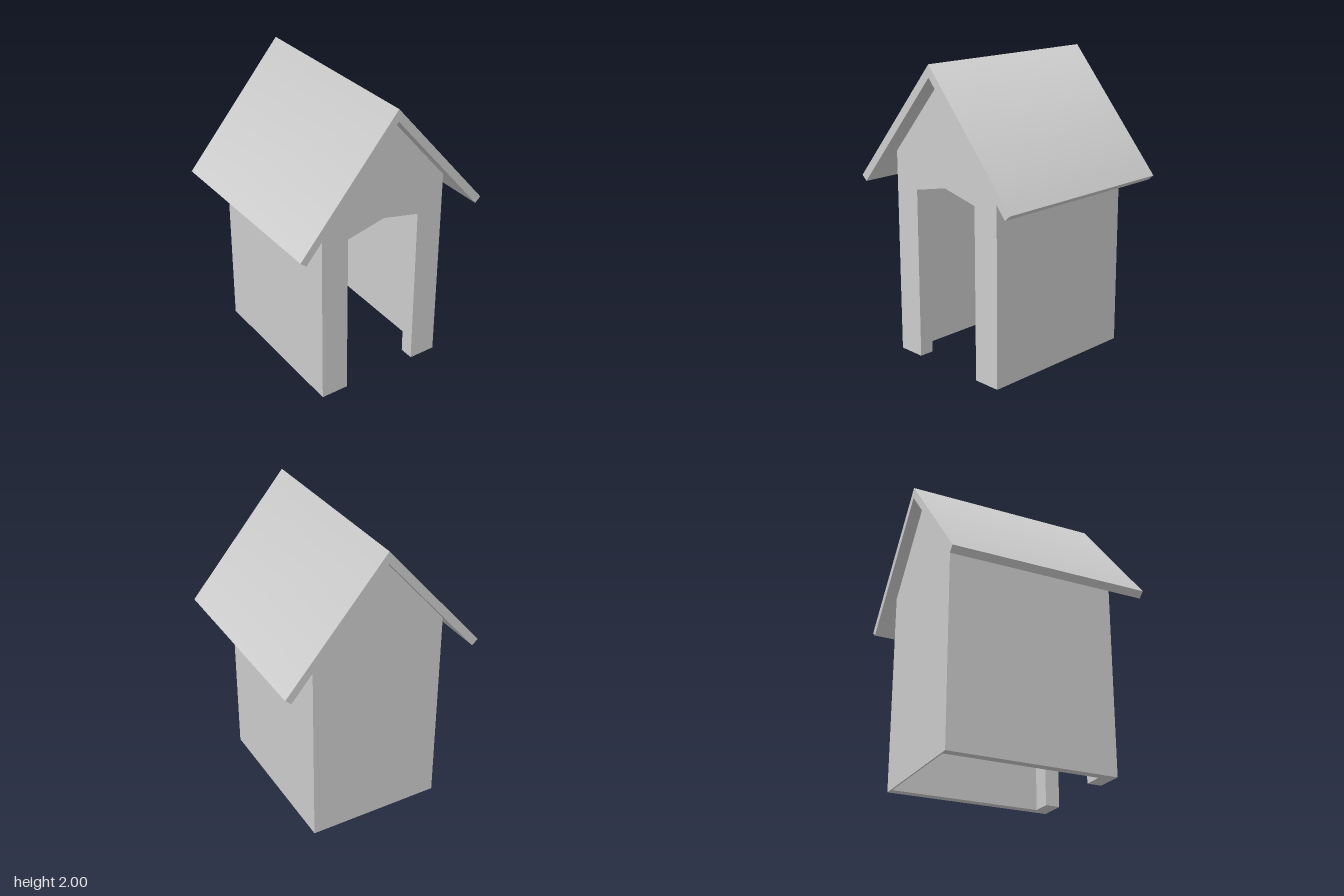
import * as THREE from 'three';

const material = new THREE.MeshStandardMaterial({ color: 0xcccccc });
const W = 0.46, FRONT = 0.555, BACK = -0.59;
const FRONT_T = 0.1, BACK_T = 0.01, SIDE_T = 0.06;
const PEAK = 1.92, SLOPE = 1.17;
const roofUnder = (x) => PEAK - SLOPE * Math.abs(x);

// Extrudes an outline in x, y from z0 to z1
function slab(name, points, z0, z1, hole) {
  const toVectors = (list) => list.map(([x, y]) => new THREE.Vector2(x, y));
  const shape = new THREE.Shape(toVectors(points));
  if (hole) shape.holes.push(new THREE.Path(toVectors(hole)));
  const geometry = new THREE.ExtrudeGeometry(shape, { depth: z1 - z0, bevelEnabled: false });
  geometry.translate(0, 0, z0);
  const mesh = new THREE.Mesh(geometry, material);
  mesh.name = name;
  return mesh;
}

export function createModel() {
  const group = new THREE.Group();
  group.name = 'kennel';

  // Front gable wall with a peaked doorway open to the ground
  group.add(slab('frontWall', [
    [-W, 0], [-0.268, 0], [-0.268, 1.155], [0, 1.215], [0.268, 1.155], [0.268, 0],
    [W, 0], [W, roofUnder(W)], [0, PEAK], [-W, roofUnder(W)],
  ], FRONT - FRONT_T, FRONT));

  // Thin closed back gable
  group.add(slab('backWall', [
    [-W, 0], [W, 0], [W, roofUnder(W)], [0, PEAK], [-W, roofUnder(W)],
  ], BACK, BACK + BACK_T));

  // Side walls reaching up to the underside of the roof
  for (const s of [1, -1]) {
    const inner = s * (W - SIDE_T), outer = s * W;
    group.add(slab(s > 0 ? 'leftWall' : 'rightWall', [
      [inner, 0], [outer, 0], [outer, roofUnder(W)], [inner, roofUnder(inner)],
    ], BACK + BACK_T, FRONT - FRONT_T));
  }

  // Overhanging gable roof
  const roof = slab('roof', [
    [0, 2], [-0.685, 1.2], [-0.645, 1.165], [0, PEAK], [0.645, 1.165], [0.685, 1.2],
  ], -0.67, 0.67);

  // Soft shading across the ridge
  const { position, normal } = roof.geometry.attributes;
  for (let i = 0; i < position.count; i++) {
    if (Math.abs(position.getX(i)) < 1e-4 && Math.abs(normal.getZ(i)) < 0.5) {
      normal.setXYZ(i, 0, Math.sign(normal.getY(i)), 0);
    }
  }
  group.add(roof);
  return group;
}
